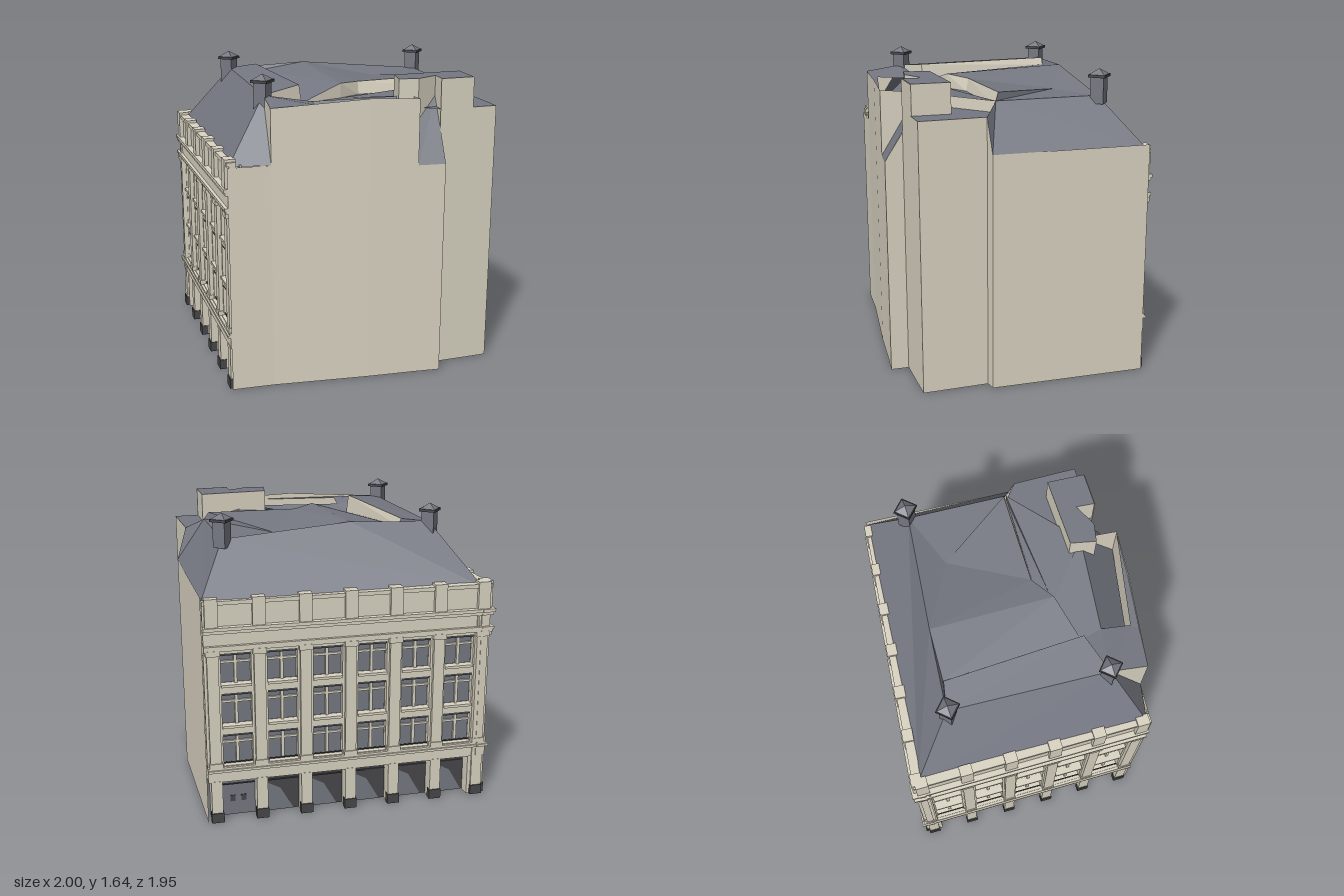
import * as THREE from 'three';

const D = THREE.DoubleSide;
const mat = (name, color, side = THREE.FrontSide) => {
  const m = new THREE.MeshStandardMaterial({ color, side });
  m.name = name;
  return m;
};
const stone = mat('stone', 0xd9d3c1, D);
const slate = mat('slate', 0x757882, D);
const dark = mat('darkMetal', 0x47474a);

// Footprint corners [x, z] of the two street facades
const W = [-0.977, -0.02], S = [-0.11, 0.957], N = [0.268, -0.962];

function add(parent, name, geometry, material, x = 0, y = 0, z = 0) {
  const m = new THREE.Mesh(geometry, material);
  m.name = name;
  m.position.set(x, y, z);
  parent.add(m);
  return m;
}

// Box given by its limits
function block(parent, name, material, x0, x1, y0, y1, z0, z1) {
  return add(parent, name, new THREE.BoxGeometry(x1 - x0, y1 - y0, z1 - z0), material,
    (x0 + x1) / 2, (y0 + y1) / 2, (z0 + z1) / 2);
}

// Flat convex polygon from [x, y, z] corners, turned to face away from the building's core
function poly(parent, name, material, pts) {
  const v = pts.map(p => new THREE.Vector3(...p));
  const n = new THREE.Vector3().crossVectors(v[1].clone().sub(v[0]), v[2].clone().sub(v[0]));
  const c = v.reduce((s, p) => s.add(p), new THREE.Vector3()).divideScalar(v.length);
  if (n.dot(c.sub(new THREE.Vector3(0, 0.7, 0))) < 0) v.reverse();
  const tris = [];
  for (let i = 1; i < v.length - 1; i++) tris.push(v[0], v[i], v[i + 1]);
  const g = new THREE.BufferGeometry().setFromPoints(tris);
  g.computeVertexNormals();
  return add(parent, name, g, material);
}

const outline = pts => pts.map(p => new THREE.Vector2(...p));

// Street facade from a to b; e0 and e1 tell which ends wrap round the street corner,
// shops gives each bay's ground floor: d dark, s slate, h dark with a slate awning panel
function facade(name, a, b, shops, e0, e1) {
  const g = new THREE.Group();
  g.name = name;
  const dx = b[0] - a[0], dz = b[1] - a[1], L = Math.hypot(dx, dz);
  g.position.set(a[0], 0, a[1]);
  g.rotation.y = -Math.atan2(dz, dx);
  const bays = shops.length, inset = 0.045, w = (L - 2 * inset) / bays, h = 0.08;
  const band = (n, y0, y1, out, back = -0.055) =>
    block(g, n, stone, -e0 * out, L + e1 * out, y0, y1, back, out);

  // Wall with three rows of window openings
  const wall = new THREE.Shape(outline([[0, 0.24], [L, 0.24], [L, 1.1], [0, 1.1]]));
  const rows = [[0.325, 0.5], [0.55, 0.73], [0.78, 0.95]];
  for (let i = 0; i < bays; i++) {
    const c = inset + (i + 0.5) * w;
    for (const [y0, y1] of rows) {
      wall.holes.push(new THREE.Path(outline([[c - h, y0], [c - h, y1], [c + h, y1], [c + h, y0]])));
      block(g, 'windowGlass', slate, c - h, c + h, y0, y1, -0.066, -0.056);
      block(g, 'windowMullion', stone, c - 0.008, c + 0.008, y0, y1, -0.056, -0.04);
      block(g, 'windowTransom', stone, c - h, c + h, y1 - 0.06, y1 - 0.048, -0.056, -0.044);
      block(g, 'windowHead', dark, c - h, c + h, y1 - 0.012, y1, -0.05, -0.022);
      block(g, 'windowSill', stone, c - h, c + h, y0 - 0.014, y0, -0.03, -0.008);
    }
    block(g, 'windowRail', dark, c - h, c + h, 0.332, 0.338, -0.03, -0.024);
    // Ground floor shop front
    const m = w / 2;
    block(g, 'shopFront', shops[i] === 's' ? slate : dark, c - m, c + m, 0, 0.24, -0.085, -0.075);
    block(g, 'shopTransom', dark, c - m, c + m, 0.182, 0.188, -0.075, -0.068);
    if (shops[i] === 'h') {
      const panel = new THREE.Shape(outline([[-m, 0], [m * 0.5, 0], [-m * 0.1, 0.13], [-m, 0.19]]));
      add(g, 'shopPanel', new THREE.ShapeGeometry(panel), slate, c, 0, -0.072);
    }
    if (shops[i] === 's') for (const s of [-0.03, 0.03])
      block(g, 'shopPane', dark, c + s - 0.014, c + s + 0.014, 0.08, 0.115, -0.075, -0.071);
  }
  add(g, 'windowWall', new THREE.ExtrudeGeometry(wall, { depth: 0.035, bevelEnabled: false }), stone, 0, 0, -0.055);
  block(g, 'innerWall', stone, 0, L, 0.24, 1.22, -0.078, -0.068);

  // Piers, pilasters and parapet posts on every bay line
  for (let i = 0; i <= bays; i++) {
    const c = inset + i * w;
    block(g, 'pierBase', dark, c - 0.034, c + 0.034, 0, 0.055, -0.03, 0.008);
    block(g, 'pier', stone, c - 0.03, c + 0.03, 0, 0.24, -0.095, 0.002);
    block(g, 'pilasterBase', stone, c - 0.036, c + 0.036, 0.32, 0.345, -0.03, 0.008);
    block(g, 'pilaster', stone, c - 0.03, c + 0.03, 0.345, 0.945, -0.03, 0.002);
    block(g, 'capital', stone, c - 0.037, c + 0.037, 0.945, 0.975, -0.03, 0.01);
    block(g, 'parapetPost', stone, c - 0.034, c + 0.034, 1.1, 1.25, -0.05, 0.008);
  }

  // Horizontal mouldings
  band('shopFascia', 0.235, 0.295, 0.0);
  band('shopCornice', 0.295, 0.308, 0.015);
  band('shopCorniceTop', 0.308, 0.32, 0.006);
  band('architrave', 0.97, 0.985, 0.008);
  band('architraveTop', 0.985, 1.0, 0.014);
  band('frieze', 1.0, 1.065, -0.004);
  band('corniceLower', 1.065, 1.082, 0.01);
  band('cornice', 1.082, 1.1, 0.018);
  band('parapet', 1.1, 1.22, -0.014, -0.05);
  band('parapetRail', 1.215, 1.236, 0.0, -0.05);
  return g;
}

export function createModel() {
  const model = new THREE.Group();
  model.name = 'cornerBuilding';
  model.add(facade('southWestFacade', W, S, 'ddsss', 1, 0), facade('northWestFacade', N, W, 'shhhhh', 0, 1));

  // Plain party walls: [x, z, top at start, top at end]
  const line = [
    [-0.105, 0.957, 1.21, 1.21], [0.07, 0.82, 1.5, 1.53], [0.49, 0.53, 1.53, 1.52],
    [0.7, 0.375, 1.17, 1.17], [0.82, 0.29, 1.17, 1.32], [0.76, 0.215, 1.6, 1.6],
    [0.9, 0.09, 1.44, 1.44], [1, 0, 1.44, 1.44], [0.77, -0.265, 1.44, 1.26],
    [0.805, -0.31, 1.26, 1.26], [0.276, -0.962, 1.26, 1.26],
  ];
  const walls = new THREE.Group();
  walls.name = 'partyWalls';
  model.add(walls);
  for (let i = 0; i < line.length - 1; i++) {
    const [ax, az, t0, t1] = line[i], [bx, bz] = line[i + 1];
    poly(walls, 'partyWall', stone, [[ax, 0, az], [bx, 0, bz], [bx, t1, bz], [ax, t0, az]]);
  }

  // Steep mansard slopes
  const roof = new THREE.Group();
  roof.name = 'roof';
  model.add(roof);
  const wTop = [-0.6, 1.54, 0], sTop = [-0.05, 1.53, 0.66], nTop = [0.3, 1.5, -0.68];
  const wEave = [-0.925, 1.21, -0.02], sEave = [-0.11, 1.21, 0.935], nEave = [0.28, 1.24, -0.945];
  const eTop = [0.65, 1.5, -0.26], mTop = [-0.25, 1.56, -0.27];
  poly(roof, 'southWestSlope', slate, [wEave, sEave, sTop, wTop]);
  poly(roof, 'northWestSlope', slate, [wEave, wTop, mTop, nTop, nEave]);
  poly(roof, 'northEastSlope', slate, [nEave, nTop, eTop, [0.805, 1.26, -0.31]]);
  poly(roof, 'northEastSlopeEnd', slate, [eTop, [0.805, 1.26, -0.31], [0.77, 1.44, -0.265]]);
  poly(roof, 'southEastHip', slate, [sEave, [0.07, 1.21, 0.82], sTop]);
  poly(roof, 'southEastSlope', slate, [[0.7, 1.17, 0.375], [0.82, 1.17, 0.29], [0.7, 1.5, 0.125], [0.59, 1.5, 0.21]]);
  poly(roof, 'gutterSlope', slate, [[0.16, 1.49, 0.52], [0.24, 1.34, 0.65], [0.7, 1.3, 0.375], [0.59, 1.5, 0.21]]);
  poly(roof, 'gutterLedge', slate, [[0.24, 1.5, 0.65], [0.24, 1.5, 0.7], [0.49, 1.5, 0.53], [0.7, 1.5, 0.375]]);
  poly(roof, 'wallCheek', stone, [[0.07, 1.21, 0.82], [0.07, 1.5, 0.82], sTop]);
  poly(roof, 'wallCheek', stone, [[0.7, 1.17, 0.375], [0.7, 1.52, 0.375], [0.59, 1.5, 0.21]]);

  // Folded roofs on top, with stone upstands at the steps between them
  const p1High = [0.06, 1.56, 0.46], p2High = [-0.47, 1.56, -0.08];
  const p1 = [0.07, 1.46, 0.45], p2 = [-0.46, 1.52, -0.09];
  const q1 = [0.2, 1.54, 0.23], q1Low = [0.2, 1.46, 0.23];
  const a = [0.24, 1.53, 0.08], aLow = [0.25, 1.46, 0.09];
  const b = [0.62, 1.54, -0.26], bLow = [0.64, 1.47, -0.25], r = [0.15, 1.49, -0.38];
  poly(roof, 'outerStrip', slate, [wTop, sTop, p1High, p2High]);
  poly(roof, 'outerUpstand', stone, [p2High, p1High, p1, p2]);
  poly(roof, 'outerStripGable', stone, [sTop, p1High, p1]);
  poly(roof, 'outerStripEnd', slate, [wTop, p2High, p2, mTop]);
  poly(roof, 'ridgeSlope', slate, [p2, p1, q1, mTop]);
  poly(roof, 'ridgeGable', stone, [p1, q1Low, q1]);
  poly(roof, 'farRidgeSlope', slate, [mTop, q1, a, r]);
  poly(roof, 'farRidgeGable', stone, [q1, q1Low, aLow, a]);
  poly(roof, 'northSlope', slate, [r, a, b]);
  poly(roof, 'northUpstand', stone, [a, aLow, bLow, b]);
  poly(roof, 'northFlat', slate, [r, b, eTop, nTop]);
  poly(roof, 'northFlatEdge', slate, [mTop, r, nTop]);
  poly(roof, 'middleFlat', slate, [q1Low, [0.59, 1.49, 0.21], eTop, bLow, aLow]);
  poly(roof, 'southFlat', slate, [p1, [0.16, 1.49, 0.52], [0.59, 1.5, 0.21], q1Low]);
  poly(roof, 'southCorner', slate, [sTop, [0.07, 1.5, 0.82], [0.24, 1.5, 0.7], [0.24, 1.5, 0.65], [0.16, 1.49, 0.52], p1]);
  poly(roof, 'eastFlat', slate, [[0.59, 1.44, 0.21], [0.76, 1.44, 0.215], [1, 1.44, 0], [0.77, 1.44, -0.265], [0.65, 1.44, -0.26]]);
  poly(roof, 'eastStep', stone, [[0.59, 1.44, 0.21], [0.65, 1.44, -0.26], eTop, [0.59, 1.5, 0.21]]);

  // Broad chimney stack
  const stack = new THREE.Shape(outline([[0.49, -0.19], [0.56, -0.31], [0.65, -0.255], [0.7, -0.13],
    [0.76, -0.21], [0.897, -0.088], [0.77, 0.07]]));
  const stackGeo = new THREE.ExtrudeGeometry(stack, { depth: 0.3, bevelEnabled: false });
  add(roof, 'chimneyStack', stackGeo.rotateX(-Math.PI / 2), [slate, stone], 0, 1.3, 0);

  // Capped vents on the three roof corners
  for (const [x, z] of [[-0.6, 0.01], [-0.055, 0.655], [0.295, -0.685]]) {
    const vent = new THREE.Group();
    vent.name = 'roofVent';
    vent.position.set(x, 0, z);
    model.add(vent);
    block(vent, 'ventShaft', slate, -0.035, 0.035, 1.46, 1.6, -0.035, 0.035);
    block(vent, 'ventPlate', dark, -0.046, 0.046, 1.596, 1.61, -0.046, 0.046);
    add(vent, 'ventCap', new THREE.ConeGeometry(0.058, 0.03, 4, 1).toNonIndexed().rotateY(Math.PI / 4), slate, 0, 1.625, 0)
      .geometry.computeVertexNormals();
  }
  return model;
}
